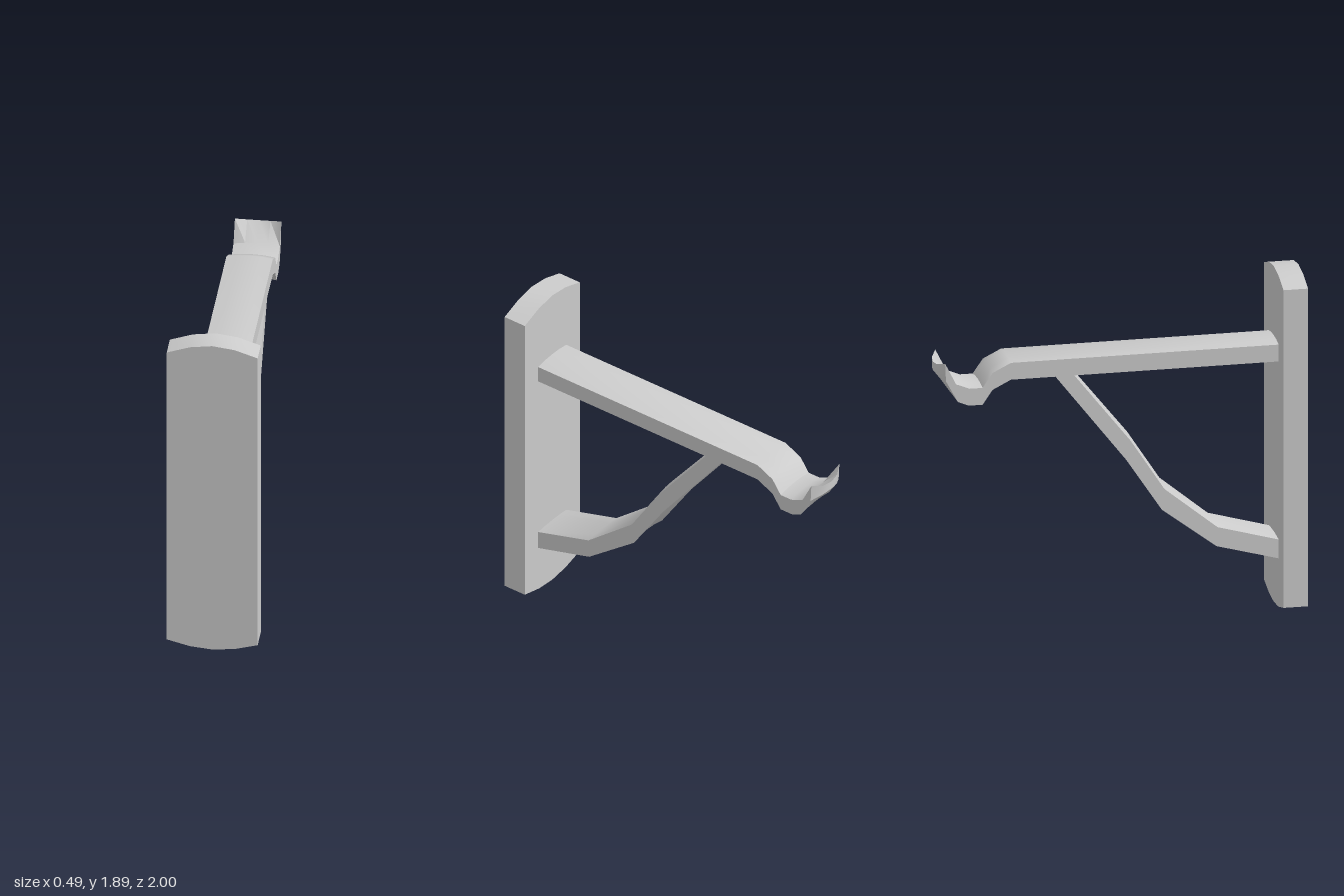
import * as THREE from 'three';
import { toCreasedNormals } from 'three/addons/utils/BufferGeometryUtils.js';

const material = new THREE.MeshStandardMaterial({ color: 0xcccccc, side: THREE.DoubleSide });
const COLUMNS = [-1, -0.5, 0, 0.5, 1];
const ARCH = [0, 0.8, 1, 0.8, 0];

// Lofts a bar of arched cross-section along -z.
// Station: [zTop, yTop, zBottom, yBottom, crownTop [z, y], crownBottom [z, y]]
function bar(name, stations, halfWidth) {
  const pos = [], index = [], n = COLUMNS.length, ring = 2 * n;
  for (const [zt, yt, zb, yb, ct, cb] of stations) {
    COLUMNS.forEach((c, i) => pos.push(c * halfWidth, yt + ct[1] * ARCH[i], zt + ct[0] * ARCH[i]));
    for (let i = n - 1; i >= 0; i--) {
      pos.push(COLUMNS[i] * halfWidth, yb + cb[1] * ARCH[i], zb + cb[0] * ARCH[i]);
    }
  }
  for (let s = 0; s < stations.length - 1; s++) {
    for (let j = 0; j < ring; j++) {
      const a = s * ring + j, b = s * ring + (j + 1) % ring;
      index.push(a, b, a + ring, b, b + ring, a + ring);
    }
  }
  // End caps
  const last = (stations.length - 1) * ring;
  for (let j = 0; j < n - 1; j++) {
    const t0 = j, t1 = j + 1, b0 = ring - 1 - j, b1 = ring - 2 - j;
    index.push(t0, b0, b1, t0, b1, t1);
    index.push(last + t0, last + b1, last + b0, last + t0, last + t1, last + b1);
  }
  const geo = new THREE.BufferGeometry();
  geo.setAttribute('position', new THREE.Float32BufferAttribute(pos, 3));
  geo.setIndex(index);
  const mesh = new THREE.Mesh(toCreasedNormals(geo, 0.55), material);
  mesh.name = name;
  return mesh;
}

// Wall plate with gently arched top and bottom
function wallPlate() {
  const outline = [
    [-0.245, 0.045], [-0.12, 0.012], [0, 0], [0.12, 0.012], [0.245, 0.045],
    [0.245, 1.835], [0.12, 1.877], [0, 1.893], [-0.12, 1.877], [-0.245, 1.835],
  ].map(([x, y]) => new THREE.Vector2(x, y));
  const geo = new THREE.ExtrudeGeometry(new THREE.Shape(outline), { depth: 0.135, bevelEnabled: false });
  geo.translate(0, 0, 0.865);
  const mesh = new THREE.Mesh(toCreasedNormals(geo, 0.55), material);
  mesh.name = 'wallPlate';
  return mesh;
}

export function createModel() {
  const group = new THREE.Group();
  group.name = 'wallBracket';
  group.add(wallPlate());

  // Horizontal arm, dipping into a cradle with an upturned, bowed lip
  const up = [0, 0.012];
  group.add(bar('armWithHook', [
    [0.87, 1.49, 0.87, 1.395, up, up],
    [-0.6, 1.49, -0.6, 1.395, up, up],
    [-0.7, 1.44, -0.7, 1.345, up, up],
    [-0.755, 1.36, -0.755, 1.265, up, up],
    [-0.825, 1.36, -0.83, 1.265, up, up],
    [-0.9, 1.39, -0.89, 1.29, up, up],
    [-0.96, 1.51, -0.955, 1.41, [-0.04, -0.025], [-0.045, 0.028]],
  ], 0.125));

  // Bent diagonal brace
  const out = [0.008, 0.01];
  group.add(bar('brace', [
    [0.87, 0.39, 0.87, 0.284, [0, 0.006], [0, 0.006]],
    [0.53, 0.485, 0.525, 0.378, [0, 0.006], [0, 0.006]],
    [0.24, 0.72, 0.225, 0.605, out, out],
    [0.055, 1.005, 0.03, 0.9, out, out],
    [-0.265, 1.41, -0.368, 1.41, [0.01, 0], [0.01, 0]],
  ], 0.125));

  return group;
}
